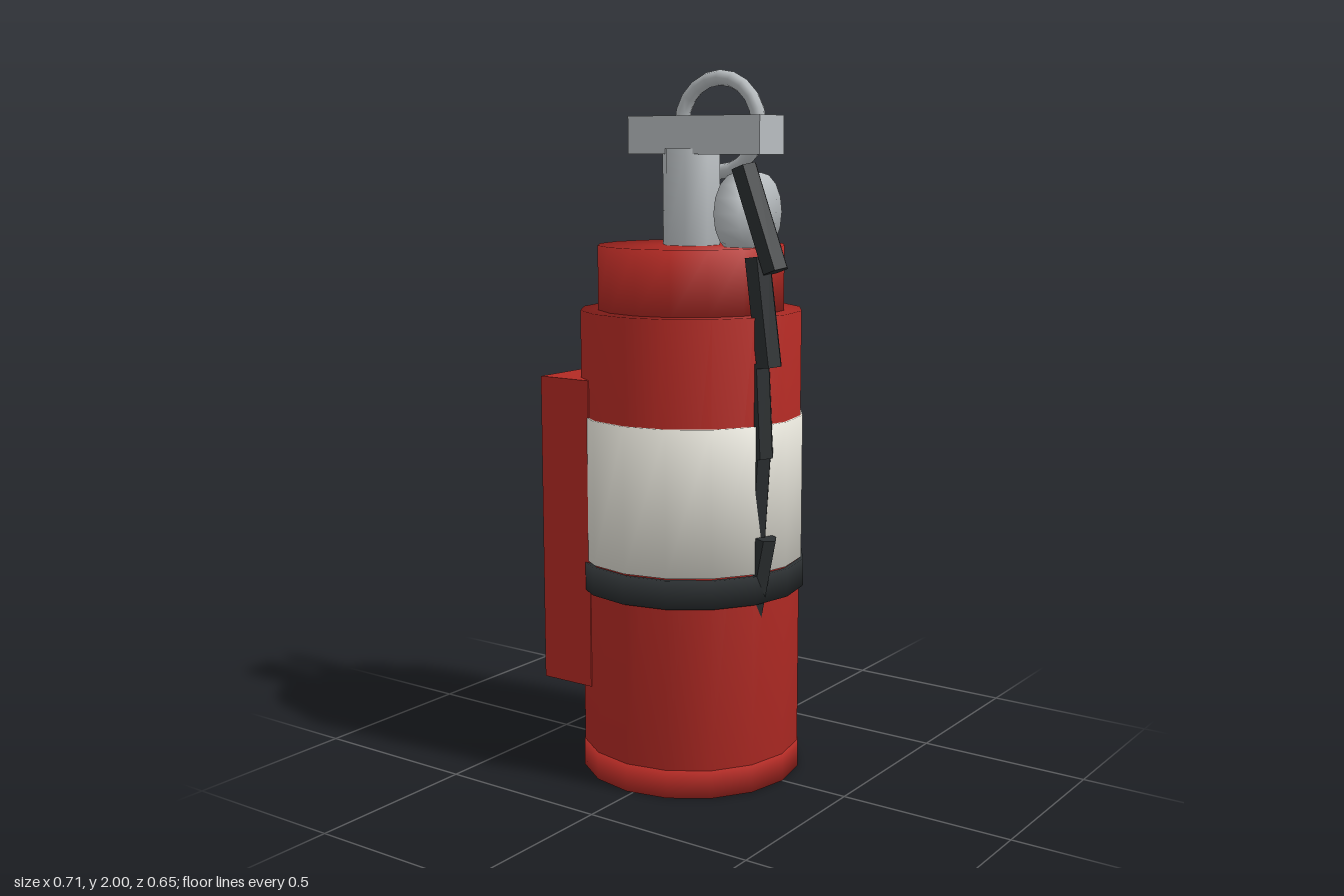
import * as THREE from 'three';
import { mergeVertices } from 'three/addons/utils/BufferGeometryUtils.js';

const RED = 0xb32a24, WHITE = 0xe2e0d6, BLACK = 0x2a2e30, METAL = 0xb8bdc0;
const AXIS_X = -0.02; // the tank stands slightly off centre

const material = (color, flatShading = false) => new THREE.MeshStandardMaterial({ color, flatShading });

function addMesh(parent, name, geometry, mat, x = 0, y = 0, z = 0) {
  const mesh = new THREE.Mesh(geometry, mat);
  mesh.name = name;
  mesh.position.set(x, y, z);
  parent.add(mesh);
  return mesh;
}

// Closed cylinder whose normals run smoothly over the rims
function softCylinder(radius, height, sides, turn = 0) {
  const g = new THREE.CylinderGeometry(radius, radius, height, sides, 1, false, turn);
  g.deleteAttribute('normal');
  g.deleteAttribute('uv');
  const merged = mergeVertices(g, 1e-4);
  merged.computeVertexNormals();
  return merged;
}

export function createModel() {
  const model = new THREE.Group();
  model.name = 'fireExtinguisher';

  const red = material(RED), white = material(WHITE), black = material(BLACK), metal = material(METAL);

  // Stacked tank parts: name, radius, bottom, top, sides, material
  const stack = [
    ['tankBase', 0.317, 0, 0.08, 16, red],
    ['tankBody', 0.315, 0.08, 1.335, 16, red],
    ['tankShoulder', 0.265, 1.33, 1.515, 16, red],
    ['label', 0.321, 0.63, 1.04, 16, white],
    ['strap', 0.327, 0.545, 0.625, 16, black],
    ['valveStem', 0.082, 1.5, 1.78, 8, metal],
  ];
  for (const [name, radius, bottom, top, sides, mat] of stack) {
    const turn = sides === 8 ? Math.PI / 8 : 0;
    addMesh(model, name, softCylinder(radius, top - bottom, sides, turn), mat, AXIS_X, (bottom + top) / 2, 0);
  }

  // Mounting block on the side of the tank
  addMesh(model, 'wallMount', new THREE.BoxGeometry(0.17, 0.885, 0.53), red, -0.27, 0.7025, 0);

  // Valve head: lever, pull ring and gauge
  addMesh(model, 'lever', new THREE.BoxGeometry(0.44, 0.105, 0.122), metal, 0.025, 1.8175, 0);
  addMesh(model, 'pullRing', new THREE.TorusGeometry(0.132, 0.022, 8, 20), metal, AXIS_X, 1.847, -0.141);
  const gauge = addMesh(model, 'gauge', softCylinder(0.11, 0.08, 16), metal, 0.17, 1.607, 0);
  gauge.rotation.z = Math.PI / 2;

  // Hose of straight hexagonal links bending down along the tank: x, y of each end
  const links = [
    [0.2125, 1.7325, 0.315, 1.4575],
    [0.257, 1.495, 0.297, 1.2],
    [0.258, 1.21, 0.272, 0.95],
    [0.265, 0.96, 0.248, 0.7],
    [0.285, 0.73, 0.235, 0.48],
  ];
  const hose = new THREE.Group();
  hose.name = 'hose';
  model.add(hose);
  const hoseMaterial = material(BLACK, true);
  links.forEach(([x0, y0, x1, y1], i) => {
    const g = new THREE.CylinderGeometry(0.038, 0.038, Math.hypot(x1 - x0, y1 - y0), 6, 1, false, Math.PI / 6);
    const link = addMesh(hose, `hoseLink${i + 1}`, g, hoseMaterial, (x0 + x1) / 2, (y0 + y1) / 2, 0.087);
    link.rotation.z = Math.atan2(x1 - x0, y0 - y1);
  });

  return model;
}
